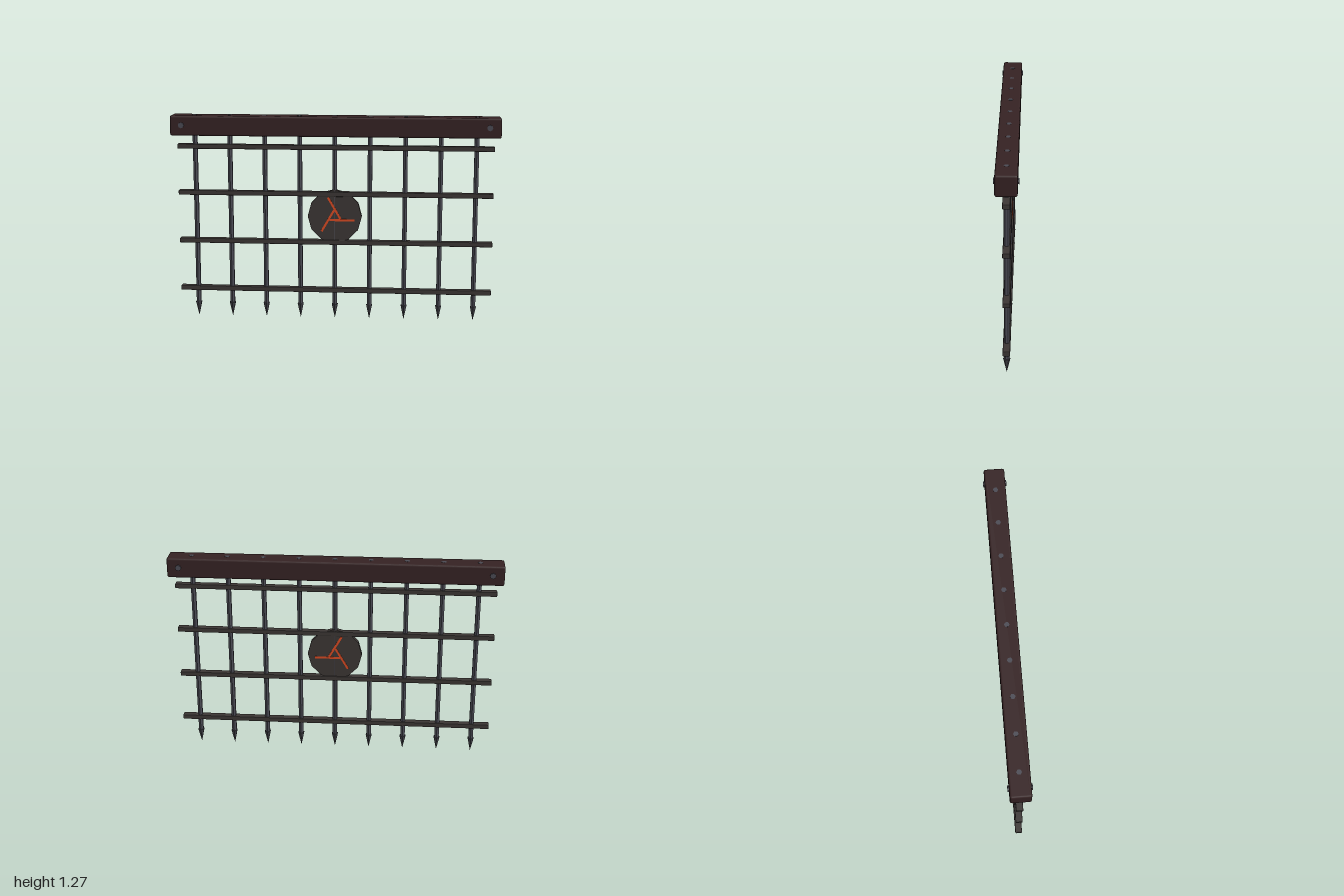
import * as THREE from 'three';
import { RoundedBoxGeometry } from 'three/addons/geometries/RoundedBoxGeometry.js';

const mat = (name, color, flatShading = false) => {
  const m = new THREE.MeshStandardMaterial({ color, flatShading });
  m.name = name;
  return m;
};

export function createModel() {
  const wood = mat('darkWood', 0x352223);
  const iron = mat('barIron', 0x4a4a53, true);
  const rust = mat('railIron', 0x3b3634, true);
  const tipIron = mat('tipIron', 0x3f3f45, true);
  const glow = mat('emberOrange', 0xd84a22);
  const ember = mat('emberRed', 0x7a2a18);

  const gate = new THREE.Group();
  gate.name = 'portcullis';
  const add = (name, geometry, material, x, y, z, parent = gate) => {
    const mesh = new THREE.Mesh(geometry, material);
    mesh.name = name;
    mesh.position.set(x, y, z);
    parent.add(mesh);
    return mesh;
  };

  // Top beam with bolts on front and back
  add('topBeam', new RoundedBoxGeometry(2, 0.122, 0.122, 2, 0.012), wood, 0, 1.206, 0);
  const boltGeo = new THREE.CylinderGeometry(0.018, 0.018, 0.138, 8).rotateX(Math.PI / 2);
  for (const x of [-0.93, 0.93]) add('beamBolt', boltGeo, iron, x, 1.21, 0);

  // Upright bars, ending flush above the beam, with pointed tips
  const barGeo = new THREE.CylinderGeometry(0.016, 0.016, 1.183, 6);
  const tipGeo = new THREE.ConeGeometry(0.021, 0.09, 6).rotateX(Math.PI);
  for (let i = -4; i <= 4; i++) {
    const x = i * 0.2143;
    add('uprightBar', barGeo, iron, x, 0.085 + 1.183 / 2, 0);
    add('barTip', tipGeo, tipIron, x, 0.045, 0);
  }

  // Cross rails
  const railGeo = new RoundedBoxGeometry(1.93, 0.029, 0.042, 1, 0.004);
  for (const y of [0.181, 0.486, 0.788, 1.075]) add('crossRail', railGeo, rust, 0, y, 0);

  // Round plate with its ring and three-stroke emblem on both faces
  const plate = new THREE.Group();
  plate.name = 'centrePlate';
  plate.position.y = 0.65;
  gate.add(plate);
  add('plateDisc', new THREE.CylinderGeometry(0.166, 0.166, 0.03, 12).rotateX(Math.PI / 2),
    rust, 0, 0, 0, plate);
  for (const side of [-1, 1]) {
    add('plateRing', new THREE.TorusGeometry(0.112, 0.003, 6, 24), ember, 0, 0, side * 0.0123, plate);
  }
  const strokeGeo = new THREE.BoxGeometry(0.155, 0.013, 0.036);
  for (let i = 0; i < 3; i++) {
    const arm = new THREE.Group();
    arm.name = 'emblemArm';
    arm.rotation.z = i * Math.PI * 2 / 3;
    plate.add(arm);
    add('emblemStroke', strokeGeo, glow, 0.045, -0.023, 0, arm);
  }
  return gate;
}
